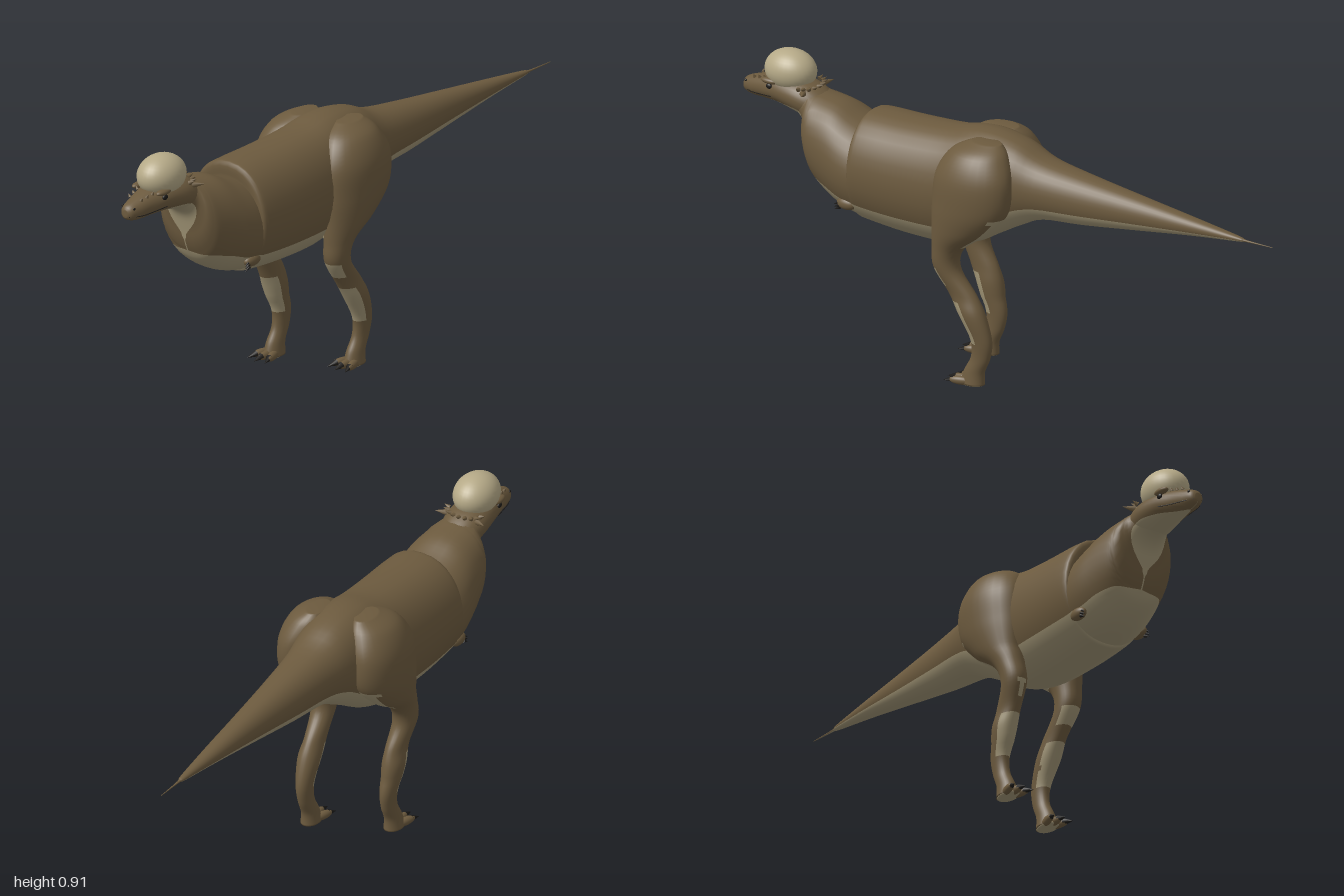
import * as THREE from 'three';

const mat = (name, color) => {
  const m = new THREE.MeshStandardMaterial({ color });
  m.name = name;
  return m;
};

// Smoothly resample rows of section numbers
function resample(rows, steps) {
  const out = [];
  const at = (i) => rows[Math.max(0, Math.min(rows.length - 1, i))];
  for (let i = 0; i < rows.length - 1; i++) {
    for (let s = 0; s < steps; s++) {
      const t = s / steps;
      out.push(rows[i].map((b, k) => {
        const a = at(i - 1)[k], c = at(i + 1)[k], d = at(i + 2)[k];
        return b + 0.5 * t * (c - a + t * (2 * a - 5 * b + 4 * c - d + t * (3 * (b - c) + d - a)));
      }));
    }
  }
  out.push(rows[rows.length - 1]);
  return out;
}

// Skin closed rings; paint(point, column, ring) picks material 0 or 1 for each face
function skin(rings, paint) {
  const n = rings[0].length, pos = [], faces = [[], []];
  rings.forEach((r) => r.forEach((p) => pos.push(p.x, p.y, p.z)));
  for (let i = 0; i < rings.length - 1; i++) {
    for (let j = 0; j < n; j++) {
      const k = (j + 1) % n, a = i * n + j, b = i * n + k;
      const mid = rings[i][j].clone().add(rings[i + 1][k]).multiplyScalar(0.5);
      faces[paint(mid, j, i)].push(a, a + n, b, b, a + n, b + n);
    }
  }
  [0, rings.length - 1].forEach((i) => {
    const c = rings[i].reduce((s, p) => s.add(p), new THREE.Vector3()).divideScalar(n);
    const id = pos.length / 3;
    pos.push(c.x, c.y, c.z);
    for (let j = 0; j < n; j++) {
      const a = i * n + j, b = i * n + (j + 1) % n;
      faces[0].push(id, ...(i === 0 ? [a, b] : [b, a]));
    }
  });
  const g = new THREE.BufferGeometry();
  g.setAttribute('position', new THREE.Float32BufferAttribute(pos, 3));
  g.setIndex([...faces[0], ...faces[1]]);
  g.addGroup(0, faces[0].length, 0);
  g.addGroup(faces[0].length, faces[1].length, 1);
  g.computeVertexNormals();
  return g;
}

// Body sections: [z, top, bottom, half width, height of the pale underside]
const UP = 22, LOW = 16;
function trunk(rows, steps = 4) {
  const rings = resample(rows, steps).map(([z, top, bottom, w, pale]) => {
    const cy = (top + bottom) / 2, ry = (top - bottom) / 2;
    const a = Math.asin(Math.max(-0.9999, Math.min(0.9, (pale - cy) / ry)));
    return Array.from({ length: UP + LOW }, (_, j) => {
      const t = j < UP
        ? a + (Math.PI - 2 * a) * j / UP
        : Math.PI - a + (Math.PI + 2 * a) * (j - UP) / LOW;
      const c = Math.cos(t);
      return new THREE.Vector3(w * Math.sign(c) * Math.abs(c) ** 0.88, cy + ry * Math.sin(t), z);
    });
  });
  return skin(rings, (p, j) => (j < UP ? 0 : 1));
}

// Leg sections: [y, z, x, half width, half depth]
const LEG = [
  [0.81, 0.03, 0.075, 0.03, 0.05], [0.775, 0.045, 0.095, 0.07, 0.10],
  [0.70, 0.05, 0.12, 0.08, 0.135], [0.60, 0.06, 0.125, 0.078, 0.135],
  [0.52, 0.095, 0.13, 0.062, 0.10], [0.45, 0.14, 0.13, 0.045, 0.055],
  [0.38, 0.145, 0.128, 0.038, 0.046], [0.30, 0.09, 0.122, 0.031, 0.05],
  [0.24, 0.055, 0.123, 0.035, 0.048], [0.16, 0.022, 0.12, 0.026, 0.038],
  [0.10, 0.025, 0.118, 0.022, 0.034], [0.05, 0.048, 0.118, 0.025, 0.036],
  [0.008, 0.055, 0.118, 0.03, 0.042],
];

export function createModel() {
  const root = new THREE.Group();
  const brown = mat('brown hide', 0x6c5a3e), pale = mat('pale underside', 0xa09475);
  const bone = mat('bone dome', 0xb5a987), black = mat('black claw', 0x1d1b19);
  const add = (name, geo, material, parent = root) => {
    const m = new THREE.Mesh(geo, material);
    m.name = name;
    parent.add(m);
    return m;
  };
  const hide = [brown, pale];
  const ball = new THREE.SphereGeometry(1, 32, 20);
  const cone = new THREE.ConeGeometry(1, 1, 8);
  const UPV = new THREE.Vector3(0, 1, 0);
  const spike = (name, p, dir, r, len, material, parent) => {
    const m = add(name, cone, material, parent);
    m.scale.set(r, len, r);
    m.position.set(...p);
    m.quaternion.setFromUnitVectors(UPV, new THREE.Vector3(...dir).normalize());
  };

  // Torso with raised collar edge, running back into the tail
  add('torsoAndTail', trunk([
    [0.515, 0.74, 0.46, 0.12, 0.50], [0.515, 0.782, 0.432, 0.148, 0.51],
    [0.48, 0.79, 0.425, 0.156, 0.505], [0.35, 0.793, 0.415, 0.156, 0.50],
    [0.20, 0.803, 0.416, 0.15, 0.50], [0.10, 0.822, 0.44, 0.14, 0.505],
    [0.02, 0.822, 0.485, 0.125, 0.55], [-0.06, 0.805, 0.53, 0.11, 0.60],
    [-0.15, 0.768, 0.57, 0.092, 0.625], [-0.30, 0.745, 0.585, 0.073, 0.633],
    [-0.50, 0.721, 0.612, 0.05, 0.645], [-0.70, 0.697, 0.64, 0.03, 0.657],
    [-0.87, 0.676, 0.659, 0.011, 0.665], [-0.90, 0.67, 0.663, 0.004, 0.664],
    [-1.0, 0.668, 0.666, 0.001, 0.666],
  ]), hide);

  // Neck and rounded chest
  add('neckAndChest', trunk([
    [0.83, 0.81, 0.735, 0.05, 0.76], [0.77, 0.812, 0.712, 0.062, 0.745],
    [0.74, 0.808, 0.68, 0.07, 0.72], [0.728, 0.804, 0.635, 0.084, 0.64],
    [0.72, 0.80, 0.59, 0.10, 0.59], [0.705, 0.797, 0.55, 0.113, 0.55],
    [0.68, 0.793, 0.51, 0.123, 0.548], [0.62, 0.782, 0.468, 0.136, 0.535],
    [0.56, 0.755, 0.445, 0.146, 0.515], [0.50, 0.73, 0.435, 0.146, 0.51],
    [0.44, 0.70, 0.44, 0.13, 0.50],
  ]), hide);

  // Head: tapered snout, bone dome, eyes, nostrils and mouth
  const head = new THREE.Group();
  head.name = 'head';
  root.add(head);
  add('skull', trunk([
    [1.0, 0.772, 0.748, 0.01, 0.748], [0.99, 0.785, 0.738, 0.024, 0.738],
    [0.96, 0.797, 0.731, 0.034, 0.731], [0.91, 0.812, 0.732, 0.046, 0.736],
    [0.85, 0.824, 0.732, 0.062, 0.745], [0.78, 0.824, 0.718, 0.071, 0.745],
    [0.73, 0.812, 0.705, 0.066, 0.73], [0.69, 0.79, 0.70, 0.05, 0.71],
  ]), hide, head);
  const dome = add('dome', ball, bone, head);
  dome.scale.set(0.07, 0.067, 0.088);
  dome.position.set(0, 0.843, 0.828);
  for (const s of [1, -1]) {
    const eye = add('eye', ball, black, head);
    eye.scale.set(0.006, 0.009, 0.011);
    eye.position.set(s * 0.055, 0.793, 0.873);
    const brow = add('brow', ball, brown, head);
    brow.scale.set(0.014, 0.01, 0.032);
    brow.position.set(s * 0.05, 0.81, 0.875);
    const nostril = add('nostril', ball, black, head);
    nostril.scale.set(0.003, 0.004, 0.005);
    nostril.position.set(s * 0.024, 0.778, 0.983);
    const mouth = new THREE.CatmullRomCurve3([
      [0.014, 0.752, 0.997], [0.033, 0.75, 0.96], [0.045, 0.754, 0.91], [0.056, 0.76, 0.865],
    ].map(([x, y, z]) => new THREE.Vector3(s * x, y, z)));
    add('mouthLine', new THREE.TubeGeometry(mouth, 12, 0.0015, 5), black, head);
    // Cheek horns and small snout knobs
    spike('cheekHorn', [s * 0.073, 0.80, 0.735], [s, 0.15, -0.5], 0.011, 0.04, brown, head);
    for (let i = 0; i < 4; i++) {
      spike('snoutKnob', [s * (0.026 + i * 0.004), 0.802 + i * 0.005, 0.95 - i * 0.022],
        [s * 0.6, 1, 0], 0.006, 0.012, brown, head);
    }
  }
  // Row of knobs round the back of the dome
  for (let i = 0; i < 9; i++) {
    const a = Math.PI * (0.04 + 0.115 * i), x = Math.cos(a), z = -Math.sin(a);
    spike('crestKnob', [x * 0.066, 0.812, 0.765 + z * 0.05], [x, 0.5, z], 0.008, 0.02, brown, head);
  }

  // Legs: the right one stands a step ahead
  for (const s of [1, -1]) {
    const leg = new THREE.Group();
    leg.name = s > 0 ? 'leftLeg' : 'rightLeg';
    root.add(leg);
    const step = (y) => (s > 0 ? 0 : y > 0.5 ? 0.04 : 0.04 + 0.07 * Math.min(1, (0.5 - y) / 0.3));
    const rows = resample(LEG, 6), n = 28;
    const rings = rows.map(([y, z, x, rx, rz]) => Array.from({ length: n }, (_, j) => {
      const t = 2 * Math.PI * j / n;
      return new THREE.Vector3(s * x + rx * Math.cos(t), y, z + step(y) - rz * Math.sin(t));
    }));
    const paint = (p, j, i) => {
      const [y, z, x, rx, rz] = rows[i];
      const forward = (p.z - z - step(y)) / rz, inward = (x - s * p.x) / rx;
      const shin = y > 0.15 && y < 0.285 && forward > 0.25;
      const knee = y > 0.335 && y < 0.385 && forward > (s > 0 ? 0.3 : 0.9);
      const innerThigh = y > 0.47 && y < 0.6 && (inward > 0.45 || forward < -0.8);
      return shin || knee || innerThigh ? 1 : 0;
    };
    add('limb', skin(rings, paint), hide, leg);

    // Three clawed toes and a pale sole
    const fz = 0.055 + step(0);
    const sole = add('sole', ball, pale, leg);
    sole.scale.set(0.028, 0.008, 0.045);
    sole.position.set(s * 0.118, 0.008, fz + 0.005);
    for (const k of [-1, 0, 1]) {
      const len = k === 0 ? 0.048 : 0.04;
      const toe = add('toe', ball, brown, leg);
      toe.scale.set(0.013, 0.014, len);
      toe.position.set(s * 0.118 + k * 0.021, 0.016, fz + 0.03);
      toe.rotation.y = k * 0.3;
      spike('toeClaw', [s * 0.118 + k * 0.032, 0.014, fz + 0.03 + len], [k * 0.3, -0.2, 1],
        0.011, 0.036, black, leg);
    }

    // Tiny folded arm with claws
    const arm = add(s > 0 ? 'leftArm' : 'rightArm', ball, brown);
    arm.scale.set(0.018, 0.02, 0.035);
    arm.position.set(s * 0.117, 0.498, 0.535);
    for (const k of [-1, 0, 1]) {
      spike('handClaw', [s * 0.125, 0.486 + k * 0.009, 0.567], [s * 0.1, -0.5, 1], 0.006, 0.024, black);
    }
  }
  return root;
}
